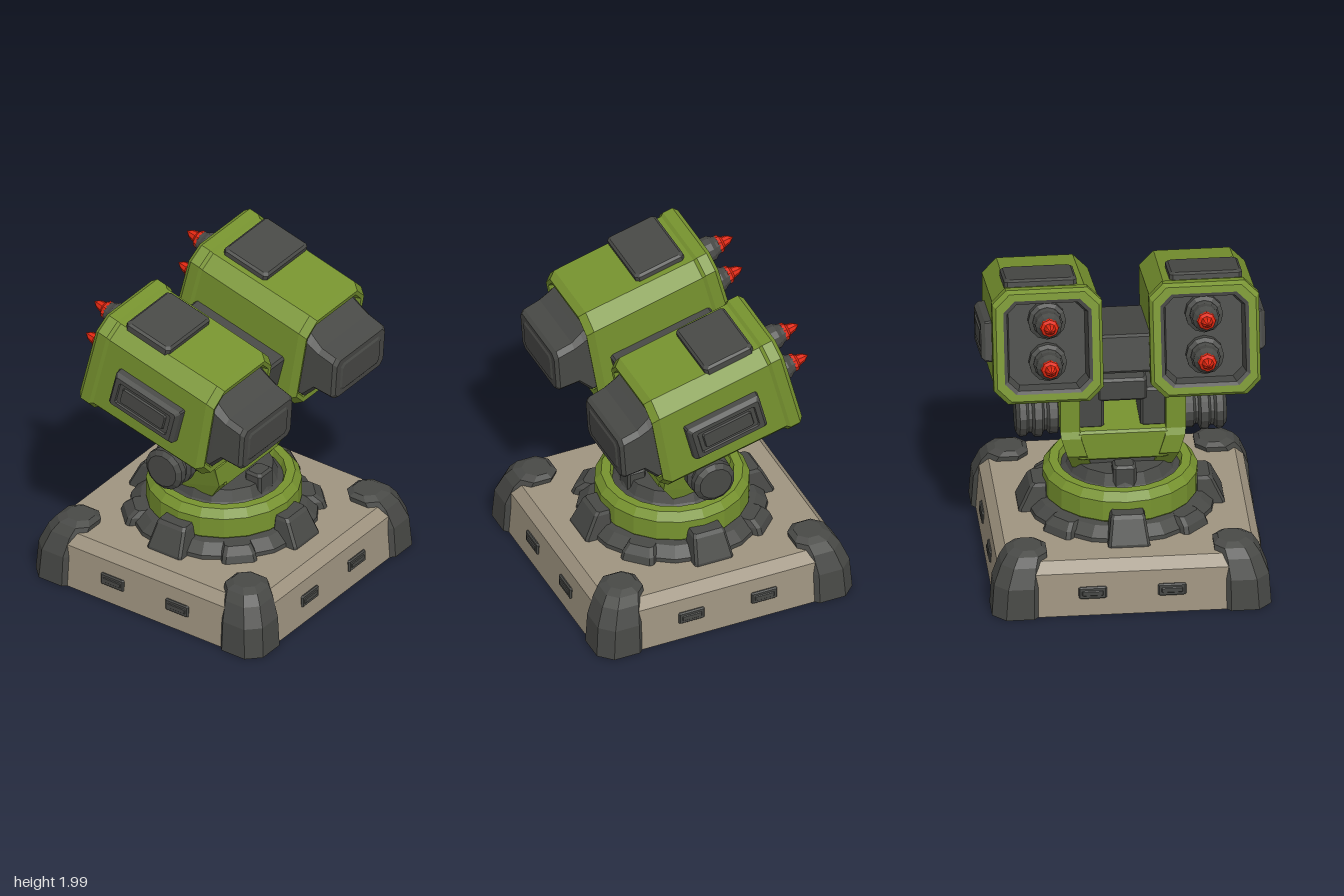
import * as THREE from 'three';

const mat = (name, color) => {
  const m = new THREE.MeshStandardMaterial({ color });
  m.name = name;
  return m;
};

// Octagonal ring at height y: half sizes hx, hz, corner cut c, centre cx, cz, tilt t
const oct = (y, hx, hz, c, cx = 0, cz = 0, t = 0) =>
  [[hx, hz - c], [hx, c - hz], [hx - c, -hz], [c - hx, -hz],
    [-hx, c - hz], [-hx, hz - c], [c - hx, hz], [hx - c, hz]]
    .map(([x, z]) => new THREE.Vector3(x + cx, y + t * (x + cx), z + cz));

// Faceted skin over a stack of rings, closed at either end if asked
function loft(rings, capStart = true, capEnd = true) {
  const pts = [];
  const n = rings[0].length;
  for (let r = 0; r < rings.length - 1; r++) {
    for (let i = 0; i < n; i++) {
      const j = (i + 1) % n, lo = rings[r], hi = rings[r + 1];
      pts.push(lo[i], lo[j], hi[j], lo[i], hi[j], hi[i]);
    }
  }
  const last = rings[rings.length - 1];
  for (let i = 1; i < n - 1; i++) {
    if (capStart) pts.push(rings[0][0], rings[0][i + 1], rings[0][i]);
    if (capEnd) pts.push(last[0], last[i], last[i + 1]);
  }
  const g = new THREE.BufferGeometry().setFromPoints(pts);
  g.computeVertexNormals();
  return g;
}

function lathe(profile, sides) {
  const g = new THREE.LatheGeometry(profile.map(p => new THREE.Vector2(...p)), sides).toNonIndexed();
  g.computeVertexNormals();
  return g;
}

export function createModel() {
  const green = mat('olive green', 0x77932f);
  const dark = mat('dark grey', 0x484946);
  const beige = mat('warm beige', 0x9f9480);
  const red = mat('warhead red', 0xe0260f);

  const model = new THREE.Group();
  const add = (parent, name, geo, material, x = 0, y = 0, z = 0) => {
    const m = new THREE.Mesh(geo, material);
    m.name = name;
    m.position.set(x, y, z);
    parent.add(m);
    return m;
  };
  const box = (w, h, d, c = 0.015) => loft([
    oct(-h / 2, w / 2 - c, d / 2 - c, c), oct(c - h / 2, w / 2, d / 2, c),
    oct(h / 2 - c, w / 2, d / 2, c), oct(h / 2, w / 2 - c, d / 2 - c, c)]);

  // Base plinth
  add(model, 'base', loft([oct(0, 0.82, 0.82, 0.2), oct(0.28, 0.8, 0.8, 0.2),
    oct(0.345, 0.745, 0.745, 0.2)]), beige);

  // Armoured corners, side vents and collar clamps, once per quarter turn
  const corner = loft([[0, 0.515, 0.845, 0.08], [0.2, 0.515, 0.832, 0.08], [0.32, 0.51, 0.785, 0.07],
    [0.375, 0.505, 0.745, 0.06], [0.397, 0.535, 0.7, 0.05]].map(([y, a, b, c]) =>
    oct(y, (b - a) / 2, (b - a) / 2, c, (a + b) / 2, (a + b) / 2)));
  const clamp = loft([oct(0.33, 0.09, 0.13, 0.015, 0.535), oct(0.36, 0.09, 0.125, 0.015, 0.532),
    oct(0.5, 0.055, 0.105, 0.015, 0.5), oct(0.52, 0.045, 0.095, 0.015, 0.49)]);
  const lug = loft([oct(0.33, 0.07, 0.11, 0.02, 0.55), oct(0.39, 0.06, 0.1, 0.02, 0.54),
    oct(0.43, 0.04, 0.08, 0.02, 0.51)]);
  for (let i = 0; i < 4; i++) {
    const quarter = new THREE.Group();
    quarter.name = 'baseQuarter';
    quarter.rotation.y = i * Math.PI / 2;
    model.add(quarter);
    add(quarter, 'cornerArmour', corner, dark);
    add(quarter, 'collarClamp', clamp, dark);
    add(quarter, 'collarLug', lug, dark).rotation.y = Math.PI / 4;
    for (const s of [-1, 1]) {
      add(quarter, 'ventFrame', box(0.03, 0.08, 0.17, 0.008), dark, 0.806, 0.15, s * 0.24);
      add(quarter, 'ventSlat', box(0.02, 0.035, 0.13, 0.005), dark, 0.816, 0.15, s * 0.24);
    }
  }

  // Turntable
  add(model, 'collar', lathe([[0.58, 0.33], [0.575, 0.37], [0.51, 0.425], [0.42, 0.44]], 16), dark);
  add(model, 'turntableRing', lathe([[0.455, 0.42], [0.47, 0.44], [0.47, 0.57], [0.43, 0.62],
    [0.375, 0.62], [0.355, 0.56]], 20), green);
  add(model, 'turntableFloor', lathe([[0.37, 0.57], [0.33, 0.6], [0.3, 0.67], [0, 0.68]], 16), dark);
  for (const s of [-1, 1]) add(model, 'turntableLug', box(0.12, 0.15, 0.14), dark, s * 0.26, 0.655, 0);

  // Yoke: two side plates leaning in at the foot, joined by a crosspiece
  const plate = new THREE.Shape([[-0.13, 0.64], [0.13, 0.64], [0.21, 0.76], [0.21, 0.9], [0.17, 0.95],
    [0.17, 1.24], [-0.2, 1.24], [-0.2, 0.92], [-0.22, 0.88], [-0.22, 0.76]].map(p => new THREE.Vector2(...p)));
  add(model, 'yokeCrosspiece', box(0.42, 0.2, 0.56), green, 0, 0.82, 0);
  add(model, 'yokeFoot', box(0.3, 0.12, 0.5), dark, 0, 0.69, 0);
  const pivot = lathe([[0.1, 0], [0.125, 0.01], [0.125, 0.06], [0.105, 0.075], [0.105, 0.09], [0.14, 0.105],
    [0.14, 0.15], [0.115, 0.165], [0.115, 0.185], [0.135, 0.2], [0.135, 0.24], [0.105, 0.262], [0, 0.262]], 14);
  for (const s of [-1, 1]) {
    const g = new THREE.ExtrudeGeometry(plate, { depth: 0.12, bevelEnabled: false });
    const p = g.attributes.position;
    for (let i = 0; i < p.count; i++) {
      const lean = 0.3 * Math.max(0, 0.9 - p.getY(i));
      p.setZ(i, p.getZ(i) + (s > 0 ? 0.26 : -0.38) - s * lean);
    }
    g.computeVertexNormals();
    add(model, 'yokeArm', g, green);
    add(model, 'yokeBearing', box(0.3, 0.26, 0.16), dark, 0, 1.04, s * 0.19);
    add(model, 'pivotDrum', pivot, dark, 0, 0.95, s * 0.375).rotation.x = s * Math.PI / 2;
  }
  add(model, 'cradleBlock', box(0.32, 0.15, 0.3), dark, 0, 1.17, 0);

  // Tilted launcher: local -x is the firing direction
  const launcher = new THREE.Group();
  launcher.name = 'launcher';
  launcher.position.set(0.005, 1.54, 0);
  launcher.rotation.z = -0.245;
  model.add(launcher);
  add(launcher, 'crossBeam', box(0.68, 0.24, 0.36), dark, 0, -0.1, 0);

  // Pod skins are lofted along the firing axis, with a recess at each end
  const shell = loft([
    oct(-0.38, 0.26, 0.26, 0.07, 0, 0, 0.08), oct(-0.45, 0.28, 0.275, 0.07, 0, 0, 0.08),
    oct(-0.455, 0.315, 0.295, 0.09, 0, 0, 0.08), oct(-0.41, 0.342, 0.32, 0.09, 0, 0, 0.08),
    oct(0.35, 0.342, 0.322, 0.085), oct(0.37, 0.355, 0.332, 0.085), oct(0.435, 0.355, 0.332, 0.085),
    oct(0.46, 0.335, 0.312, 0.085), oct(0.46, 0.29, 0.265, 0.07), oct(0.4, 0.28, 0.255, 0.07)], false, false);
  const bay = loft([oct(0.462, 0.292, 0.267, 0.07), oct(0.455, 0.27, 0.245, 0.06),
    oct(0.37, 0.255, 0.23, 0.06)], false, true);
  const exhaust = loft([
    oct(-0.682, 0.13, 0.245, 0.03, 0.02, 0, 0.18), oct(-0.66, 0.145, 0.262, 0.03, 0.02, 0, 0.18),
    oct(-0.54, 0.155, 0.265, 0.03, 0.02, 0, 0.1), oct(-0.47, 0.225, 0.268, 0.04, -0.02, 0, 0.08),
    oct(-0.37, 0.258, 0.268, 0.05, 0, 0, 0.08)]);
  const hatch = loft([oct(-0.69, 0.085, 0.19, 0.02, 0.02, 0, 0.18), oct(-0.68, 0.1, 0.205, 0.02, 0.02, 0, 0.18)]);
  const tube = lathe([[0.115, 0.36], [0.115, 0.42], [0.09, 0.435], [0.09, 0.46], [0.082, 0.475],
    [0.08, 0.53], [0.062, 0.555], [0.052, 0.585], [0, 0.586]], 12);
  const tip = lathe([[0, 0.572], [0.058, 0.574], [0.054, 0.595], [0.036, 0.61], [0.026, 0.65], [0, 0.682]], 8);
  const sidePanel = loft([oct(-0.02, 0.25, 0.13, 0.01), oct(0.035, 0.245, 0.125, 0.01),
    oct(0.06, 0.225, 0.105, 0.01), oct(0.06, 0.195, 0.078, 0.01), oct(0.05, 0.19, 0.073, 0.01),
    oct(0.05, 0.165, 0.055, 0.01), oct(0.062, 0.16, 0.05, 0.01)]);
  const topPanel = loft([oct(-0.02, 0.165, 0.22, 0.02), oct(0.03, 0.165, 0.22, 0.02),
    oct(0.043, 0.15, 0.205, 0.02)]);

  for (const s of [-1, 1]) {
    const pod = new THREE.Group();
    pod.name = s > 0 ? 'leftPod' : 'rightPod';
    pod.position.z = s * 0.475;
    launcher.add(pod);
    const along = (name, geo, material, v = 0) => {
      add(pod, name, geo, material, 0, v, 0).rotation.z = Math.PI / 2;
    };
    along('podShell', shell, green);
    along('missileBay', bay, dark);
    along('exhaustHousing', exhaust, dark);
    along('exhaustHatch', hatch, dark);
    for (const v of [0.15, -0.11]) {
      along('missileBody', tube, dark, v);
      along('missileTip', tip, red, v);
    }
    add(pod, 'sidePanel', sidePanel, dark, 0.015, -0.015, s * 0.325).rotation.x = s * Math.PI / 2;
    add(pod, 'topPanel', topPanel, dark, -0.15, 0.342, s * 0.025);
  }
  return model;
}
